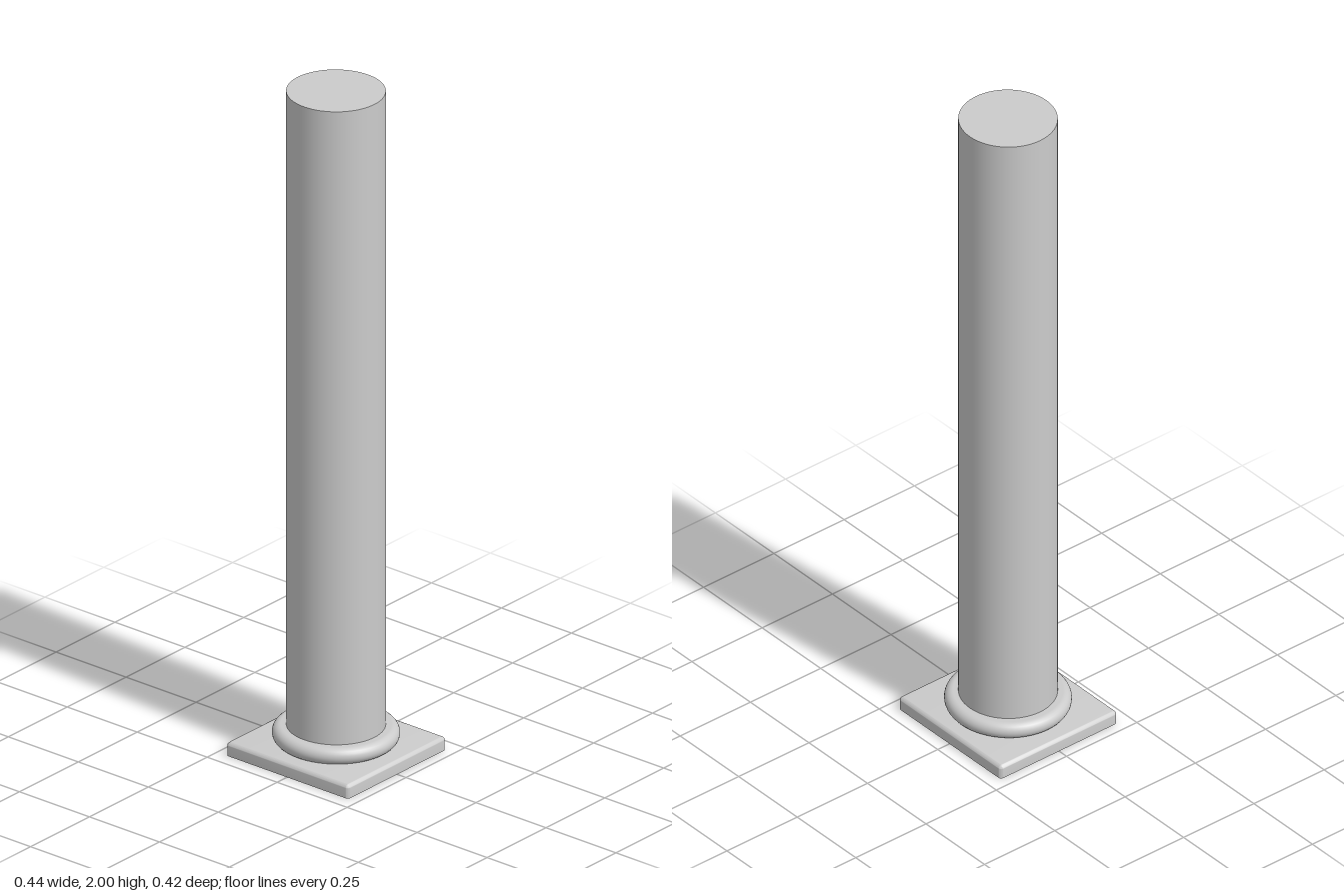
import * as THREE from 'three';
import { toCreasedNormals } from 'three/addons/utils/BufferGeometryUtils.js';
import { RoundedBoxGeometry } from 'three/addons/geometries/RoundedBoxGeometry.js';

const material = new THREE.MeshStandardMaterial({ color: 0xcccccc });

function addPart(group, name, geometry) {
  const mesh = new THREE.Mesh(geometry, material);
  mesh.name = name;
  group.add(mesh);
  return mesh;
}

// Slab with softened top edges and a flat, sharp underside
function plinthGeometry(width, height, depth, radius) {
  const geometry = new RoundedBoxGeometry(width, height + radius, depth, 4, radius);
  geometry.translate(0, (height - radius) / 2, 0);
  const position = geometry.attributes.position;
  for (let i = 0; i < position.count; i++) {
    position.setY(i, Math.max(0, position.getY(i)));
  }
  return toCreasedNormals(geometry, Math.PI / 5);
}

// Ring moulding with a rounded outer edge
function ringGeometry(bottom, top, inner, outer) {
  const radius = (top - bottom) / 2;
  const profile = [new THREE.Vector2(inner, bottom)];
  for (let i = 0; i <= 12; i++) {
    const a = -Math.PI / 2 + (i / 12) * Math.PI;
    profile.push(new THREE.Vector2(
      outer - radius + radius * Math.cos(a),
      (bottom + top) / 2 + radius * Math.sin(a)
    ));
  }
  profile.push(new THREE.Vector2(inner, top));
  return new THREE.LatheGeometry(profile, 64);
}

export function createModel() {
  const group = new THREE.Group();
  group.name = 'column';

  addPart(group, 'plinth', plinthGeometry(0.437, 0.04, 0.416, 0.01));

  const ring = addPart(group, 'baseRing', ringGeometry(0.038, 0.087, 0.12, 0.177));
  ring.scale.z = 0.98;

  const shaft = addPart(group, 'shaft', new THREE.CylinderGeometry(0.137, 0.137, 1.96, 64));
  shaft.position.y = 1.02;
  shaft.scale.z = 0.99;

  return group;
}
